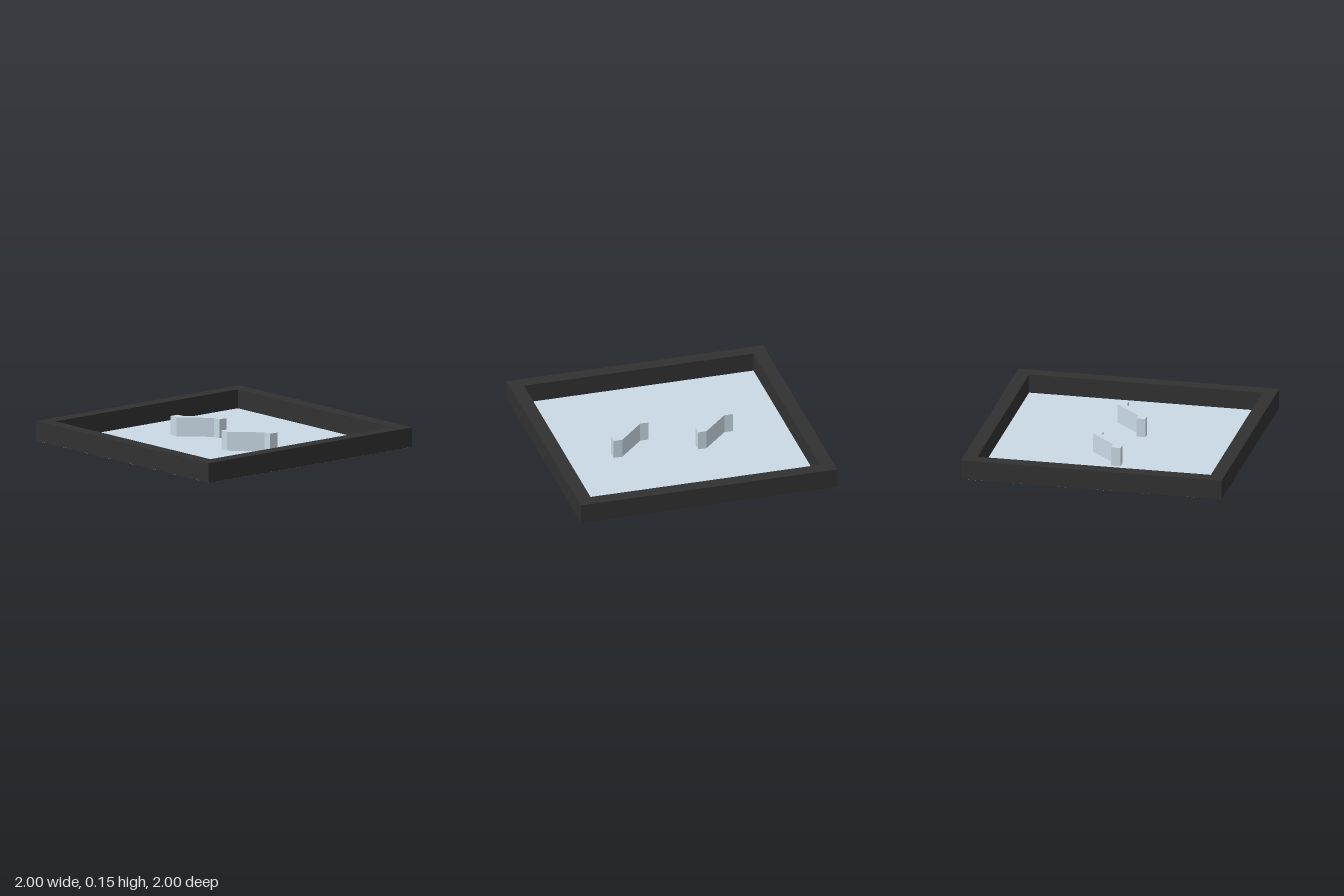
import * as THREE from 'three';

const HEIGHT = 0.15, PLATE = 0.005, INNER = 0.895;

// Upright prism from a plan outline given as [x, z] pairs
function prism(name, bottom, outline, material, hole) {
  const toPoints = (list) => list.map(([x, z]) => new THREE.Vector2(x, -z));
  const shape = new THREE.Shape(toPoints(outline));
  if (hole) shape.holes.push(new THREE.Path(toPoints(hole)));
  const geometry = new THREE.ExtrudeGeometry(shape, { depth: HEIGHT - bottom, bevelEnabled: false });
  geometry.rotateX(-Math.PI / 2).translate(0, bottom, 0);
  const mesh = new THREE.Mesh(geometry, material);
  mesh.name = name;
  return mesh;
}

// Corners run counter-clockwise seen from above
const square = (r) => [[-r, r], [r, r], [r, -r], [-r, -r]];

export function createModel() {
  const group = new THREE.Group();
  group.name = 'framedTray';
  const charcoal = new THREE.MeshStandardMaterial({ color: 0x313131 });
  charcoal.name = 'charcoal';
  const paleBlue = new THREE.MeshStandardMaterial({ color: 0xc9d9e5 });
  paleBlue.name = 'pale blue grey';

  // Thin floor, its edges tucked inside the frame
  const floor = new THREE.Mesh(new THREE.BoxGeometry(1.998, PLATE, 1.998), paleBlue);
  floor.position.y = PLATE / 2;
  floor.name = 'floor';
  group.add(floor);

  // Square surrounding frame, its open hole lined by the inner walls
  group.add(prism('frame', 0.0005, square(1), charcoal, square(INNER).reverse()));

  // Two slanted walls, half a turn apart
  const slant = [
    [-0.487, 0.04], [-0.42, 0.04], [-0.222, -0.16], [-0.157, -0.16],
    [-0.157, -0.09], [-0.222, -0.09], [-0.42, 0.112], [-0.487, 0.112],
  ];
  ['rightSlantedWall', 'leftSlantedWall'].forEach((name, i) => {
    const wall = prism(name, PLATE, slant, paleBlue);
    wall.rotation.y = i * Math.PI;
    group.add(wall);
  });

  return group;
}
